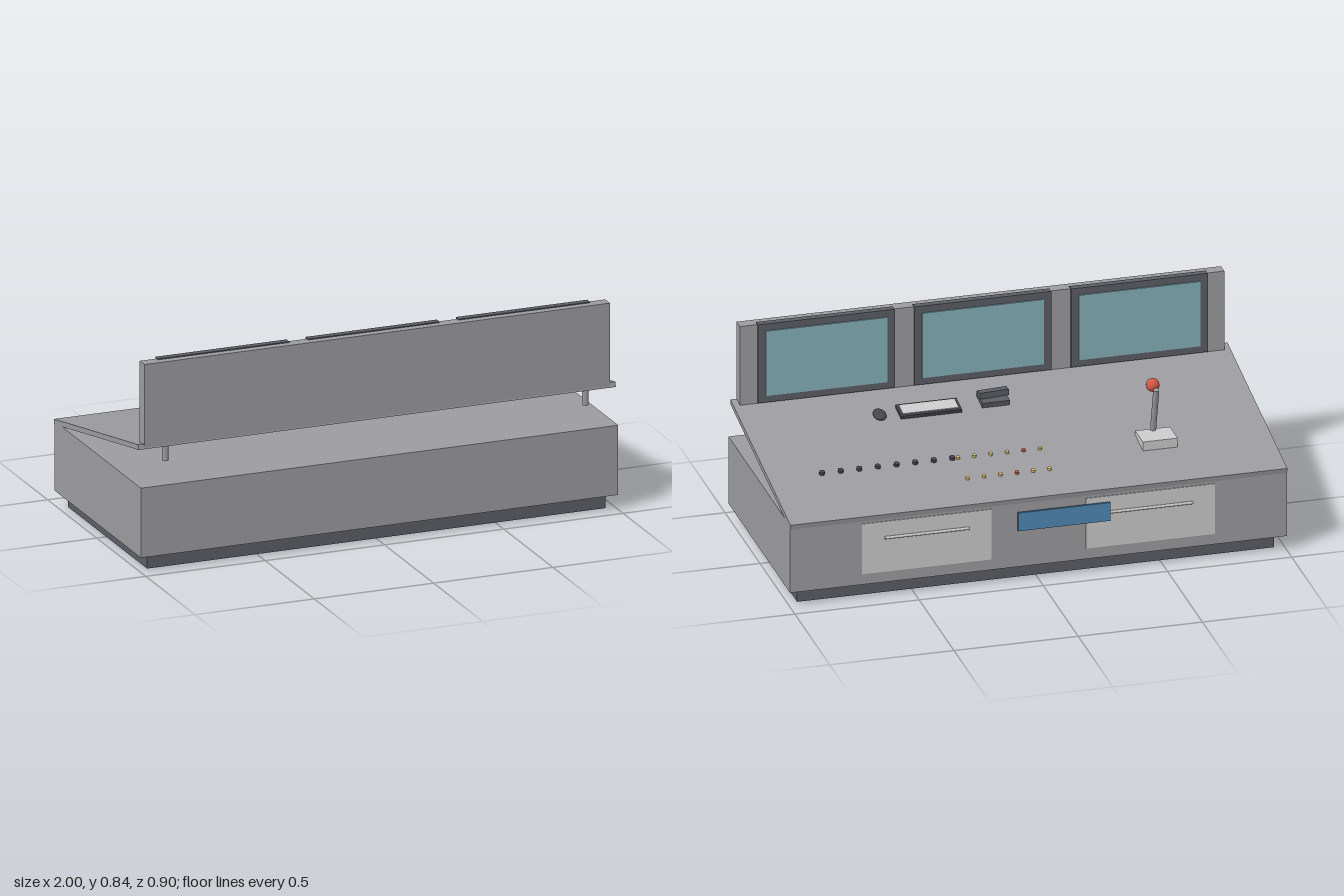
import * as THREE from 'three';

const material = (color, flatShading = false) => new THREE.MeshStandardMaterial({ color, flatShading });
const grey = material(0x9c9ca0);
const light = material(0xcccccc);
const dark = material(0x5c5e66);
const black = material(0x44464c);
const blue = material(0x5088b4);
const glass = material(0x84b0b8);
const red = material(0xd05848);
const yellow = material(0xd8c070);

const TILT = -0.189;
const deskY = (z) => 0.4335 + 0.191 * z;

export function createModel() {
  const model = new THREE.Group();
  model.name = 'controlConsole';

  const add = (name, geometry, mat, x, y, z, parent = model) => {
    const mesh = new THREE.Mesh(geometry, mat);
    mesh.name = name;
    mesh.position.set(x, y, z);
    parent.add(mesh);
    return mesh;
  };
  // box given by its extents in x, y and z
  const box = (name, mat, x0, x1, y0, y1, z0, z1) =>
    add(name, new THREE.BoxGeometry(x1 - x0, y1 - y0, z1 - z0), mat,
      (x0 + x1) / 2, (y0 + y1) / 2, (z0 + z1) / 2);
  // part lying on the sloping desk, lifted by its half height
  const onDesk = (name, geometry, mat, x, z, lift) => {
    const mesh = add(name, geometry, mat, x, deskY(z) + lift, z);
    mesh.rotation.x = TILT;
    return mesh;
  };

  // cabinet, plinth and sloping desk
  box('plinth', dark, -0.96, 0.96, 0, 0.06, -0.39, 0.415);
  box('cabinet', grey, -1, 1, 0.06, 0.345, -0.43, 0.45);
  onDesk('deskTop', new THREE.BoxGeometry(2, 0.021, 0.875), grey, 0, -0.006, -0.0105);

  // drawers with bar handles, and supports below the rear edge of the desk
  for (const s of [-1, 1]) {
    const [a, b] = s < 0 ? [-0.71, -0.19] : [0.19, 0.71];
    box('drawerFront', light, a, b, 0.105, 0.318, -0.433, -0.425);
    const handle = add('drawerHandle', new THREE.CylinderGeometry(0.006, 0.006, 0.34, 10),
      light, s * 0.45, 0.25, -0.436);
    handle.rotation.z = Math.PI / 2;
    add('rearSupport', new THREE.CylinderGeometry(0.013, 0.013, 0.065, 12), grey, s * 0.88, 0.4625, 0.405);
  }
  box('signPlate', blue, -0.285, 0.087, 0.22, 0.297, -0.451, -0.442);

  // monitor wall
  box('monitorWall', grey, -0.975, 0.975, 0.5, 0.84, 0.377, 0.425);
  for (const x of [-0.63, 0, 0.63]) {
    box('monitorFrame', dark, x - 0.275, x + 0.275, 0.511, 0.844, 0.365, 0.393);
    box('monitorScreen', glass, x - 0.245, x + 0.245, 0.54, 0.815, 0.36, 0.368);
  }

  // indicator buttons in two rows, each with one red button
  [[-0.27, 2], [-0.13, 1]].forEach(([z, redIndex]) => {
    for (let i = 0; i < 6; i++) {
      onDesk('indicatorButton', new THREE.CylinderGeometry(0.008, 0.008, 0.012, 12),
        i === redIndex ? red : yellow, -0.09 + i * 0.066, z, 0.004);
    }
  });
  for (let i = 0; i < 8; i++) {
    onDesk('controlKnob', new THREE.CylinderGeometry(0.011, 0.011, 0.014, 12),
      black, 0.262 + i * 0.075, -0.13, 0.005);
  }

  // throttle lever
  box('leverBase', light, -0.62, -0.48, 0.388, 0.43, -0.218, -0.106);
  const bottom = new THREE.Vector3(-0.55, 0.415, -0.111);
  const top = new THREE.Vector3(-0.55, 0.618, -0.16);
  const along = top.clone().sub(bottom);
  const middle = bottom.clone().add(top).multiplyScalar(0.5);
  const stick = add('leverStick', new THREE.CylinderGeometry(0.012, 0.012, along.length(), 12),
    grey, middle.x, middle.y, middle.z);
  stick.quaternion.setFromUnitVectors(new THREE.Vector3(0, 1, 0), along.normalize());
  add('leverKnob', new THREE.SphereGeometry(0.027, 16, 12), red, -0.55, 0.617, -0.108);

  // keyboard with a light key area
  onDesk('keyboardBody', new THREE.BoxGeometry(0.245, 0.014, 0.082), black, 0.263, 0.206, 0.007);
  onDesk('keyboardKeys', new THREE.BoxGeometry(0.225, 0.006, 0.062), light, 0.263, 0.206, 0.015);

  // mouse
  const mouse = onDesk('mouse', new THREE.SphereGeometry(1, 16, 10), black, 0.462, 0.2, 0.009);
  mouse.scale.set(0.026, 0.012, 0.038);

  // telephone with handset
  onDesk('telephoneBody', new THREE.BoxGeometry(0.11, 0.024, 0.086), dark, 0, 0.22, 0.01);
  const handset = add('telephoneHandset', new THREE.BoxGeometry(0.12, 0.026, 0.03), dark, 0, 0.508, 0.222);
  handset.rotation.y = 0.09;

  return model;
}
